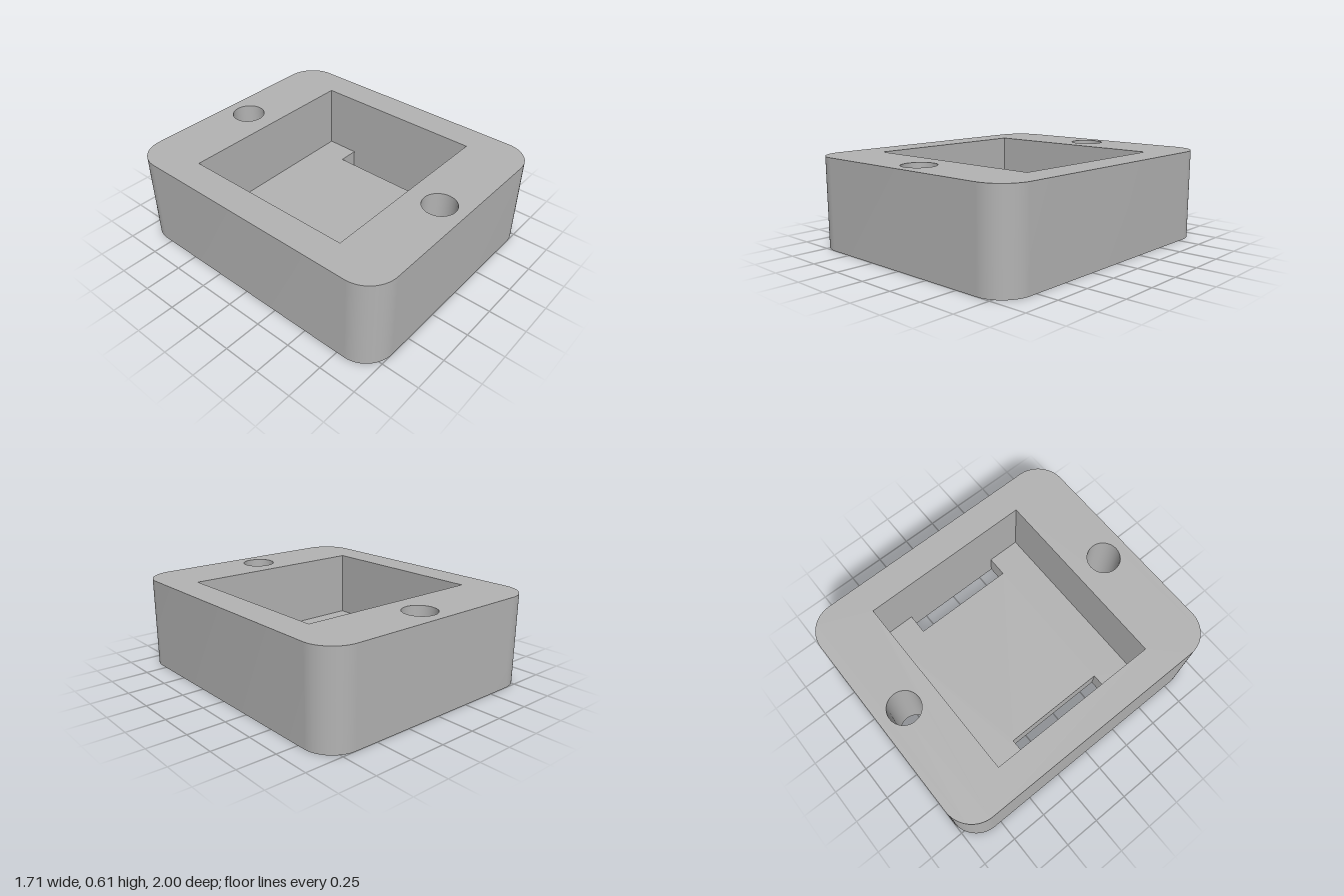
import * as THREE from 'three';
import { toCreasedNormals } from 'three/addons/utils/BufferGeometryUtils.js';

const H = 0.61, FLOOR = 0.155;          // total height, floor thickness
const W = 0.855, D = 1, R = 0.2;        // outer half sizes, corner radius
const PX = 0.65, PZ = 0.597;            // pocket half sizes
const SX = 0.507, SZ = 0.363;           // slot inner edge and half length
const HOLE_R = 0.111, HOLE_Z = 0.82;    // screw holes

const polygon = (pts) => new THREE.Shape(pts.map(([x, y]) => new THREE.Vector2(x, y)));
const rect = (x0, x1, y0, y1) => polygon([[x0, y0], [x1, y0], [x1, y1], [x0, y1]]);

function roundedRect(w, d, r) {
  const s = new THREE.Shape();
  s.absarc(w - r, d - r, r, 0, Math.PI / 2);
  s.absarc(r - w, d - r, r, Math.PI / 2, Math.PI);
  s.absarc(r - w, r - d, r, Math.PI, Math.PI * 1.5);
  s.absarc(w - r, r - d, r, Math.PI * 1.5, Math.PI * 2);
  s.closePath();
  return s;
}

const circle = (y) => new THREE.Shape().absarc(0, y, HOLE_R, 0, Math.PI * 2);

// Vertical wall along a closed outline, facing outward or inward
function wall(shape, y0, y1, inward) {
  const pts = shape.getPoints(16);
  if (THREE.ShapeUtils.isClockWise(pts) !== inward) pts.reverse();
  const pos = [];
  pts.forEach((a, i) => {
    const b = pts[(i + 1) % pts.length];
    if (a.distanceTo(b) < 1e-5) return;
    pos.push(a.x, y0, -a.y, b.x, y0, -b.y, b.x, y1, -b.y);
    pos.push(a.x, y0, -a.y, b.x, y1, -b.y, a.x, y1, -a.y);
  });
  const g = new THREE.BufferGeometry();
  g.setAttribute('position', new THREE.Float32BufferAttribute(pos, 3));
  return toCreasedNormals(g, 0.6);
}

// Horizontal face with holes, facing up or down
function cap(shape, holes, y, up) {
  const s = shape.clone();
  s.holes = holes;
  return new THREE.ShapeGeometry(s, 16).rotateX(up ? -Math.PI / 2 : Math.PI / 2).translate(0, y, 0);
}

export function createModel() {
  const group = new THREE.Group();
  group.name = 'mountingBox';
  const grey = new THREE.MeshStandardMaterial({ color: 0xb3b3b3 });
  grey.name = 'grey';
  const add = (name, geometry) => {
    const mesh = new THREE.Mesh(geometry, grey);
    mesh.name = name;
    group.add(mesh);
  };

  const outer = roundedRect(W, D, R);
  const pocket = rect(-PX, PX, -PZ, PZ);
  const screwHoles = [circle(HOLE_Z), circle(-HOLE_Z)];
  const slots = [rect(SX, PX, -SZ, SZ), rect(-PX, -SX, -SZ, SZ)];

  // Outer body
  add('outerWall', wall(outer, 0, H, false));
  add('topRim', cap(outer, [pocket, ...screwHoles], H, true));
  add('underside', cap(outer, [...slots, ...screwHoles], 0, false));

  // Pocket, its floor narrowed where the slots meet the side walls
  add('pocketWall', wall(pocket, FLOOR, H, true));
  add('pocketFloor', cap(polygon([
    [-PX, -PZ], [PX, -PZ], [PX, -SZ], [SX, -SZ], [SX, SZ], [PX, SZ],
    [PX, PZ], [-PX, PZ], [-PX, SZ], [-SX, SZ], [-SX, -SZ], [-PX, -SZ],
  ]), [], FLOOR, true));

  // Through openings
  slots.forEach((s, i) => add(i ? 'rightSlot' : 'leftSlot', wall(s, 0, FLOOR, true)));
  screwHoles.forEach((s, i) => add(i ? 'frontScrewHole' : 'backScrewHole', wall(s, 0, H, true)));

  return group;
}
